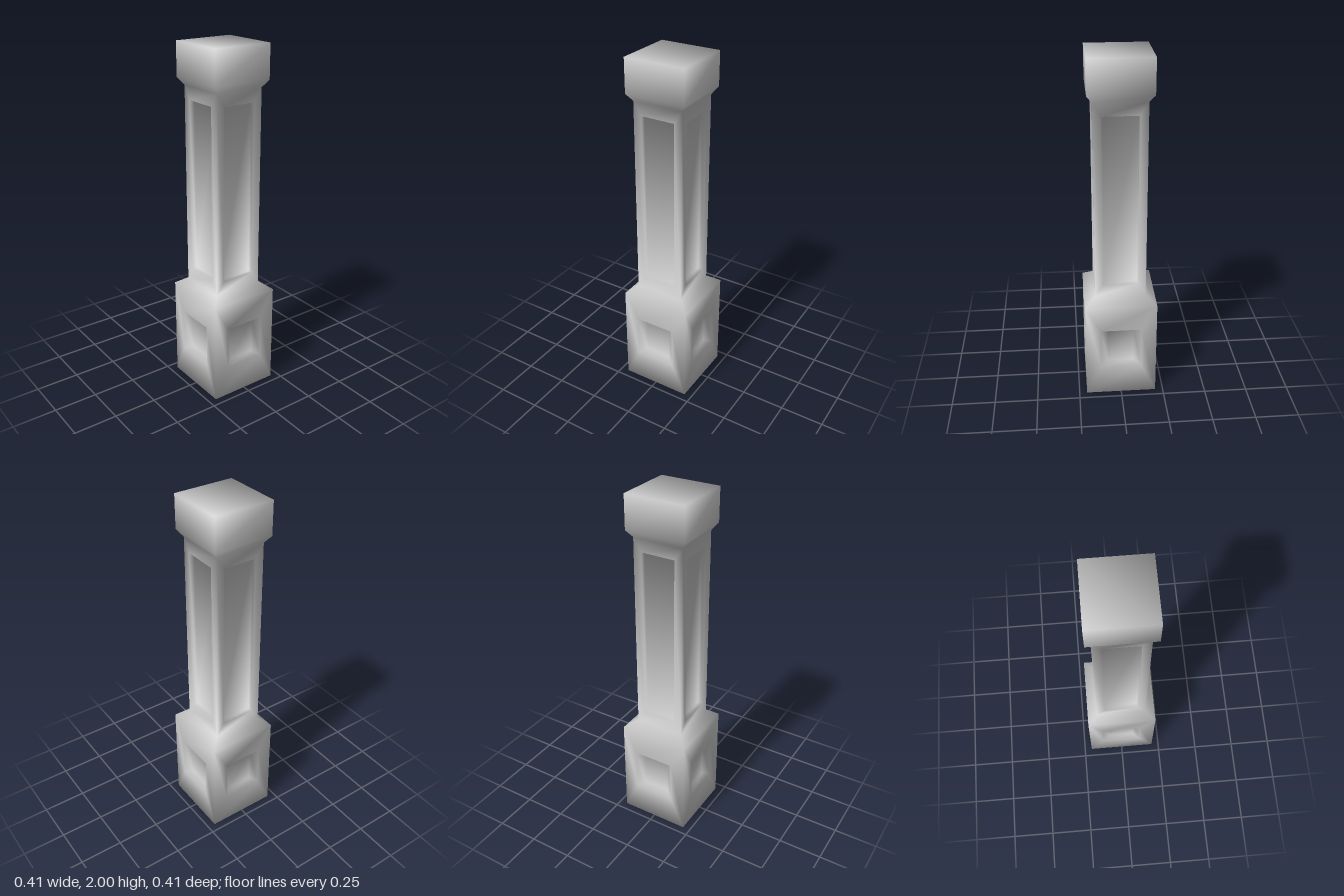
import * as THREE from 'three';
import { mergeVertices } from 'three/addons/utils/BufferGeometryUtils.js';

const SHIFT = 0.005; // shaft and cap sit slightly forward of the base

// Smooth normals weighted by corner angle, so long thin faces do not dominate.
function smoothNormals(geometry) {
  const pos = geometry.attributes.position;
  const at = (i) => new THREE.Vector3().fromBufferAttribute(pos, i);
  const sums = Array.from({ length: pos.count }, () => new THREE.Vector3());
  const index = geometry.index.array;
  for (let t = 0; t < index.length; t += 3) {
    for (let k = 0; k < 3; k++) {
      const [i, j, l] = [0, 1, 2].map((n) => index[t + ((k + n) % 3)]);
      const e = at(j).sub(at(i)), f = at(l).sub(at(i));
      sums[i].addScaledVector(e.clone().cross(f).normalize(), e.angleTo(f));
    }
  }
  const normals = sums.flatMap((n) => n.normalize().toArray());
  geometry.setAttribute('normal', new THREE.Float32BufferAttribute(normals, 3));
}

export function createModel() {
  const positions = [];

  // Point on side k of the square pillar: u along the side, d outward.
  const point = (k, u, y, d) => {
    const a = (k * Math.PI) / 2;
    const c = Math.cos(a), s = Math.sin(a);
    return [u * c + d * s, y, d * c - u * s + (y > 0.61 ? SHIFT : 0)];
  };
  const quad = (a, b, c, d) => positions.push(...a, ...b, ...c, ...a, ...c, ...d);

  // A rectangular loop [halfWidth, bottom, top, outward distance].
  const corners = (k, [w, y0, y1, d]) =>
    [[-w, y0], [w, y0], [w, y1], [-w, y1]].map(([u, y]) => point(k, u, y, d));

  // Nested loops bridged from rim to floor, giving a framed recess on each side.
  function panel(loops) {
    for (let k = 0; k < 4; k++) {
      const rings = loops.map((l) => corners(k, l));
      for (let r = 0; r + 1 < rings.length; r++) {
        for (let i = 0; i < 4; i++) {
          const j = (i + 1) % 4;
          quad(rings[r][i], rings[r][j], rings[r + 1][j], rings[r + 1][i]);
        }
      }
      quad(...rings.at(-1));
    }
  }

  // Four sloped or straight sides between two square sections.
  function band(w0, y0, w1, y1) {
    for (let k = 0; k < 4; k++) {
      quad(point(k, -w0, y0, w0), point(k, w0, y0, w0), point(k, w1, y1, w1), point(k, -w1, y1, w1));
    }
  }

  // Square end face, facing up or down.
  function endFace(w, y, up) {
    const p = [0, 1, 2, 3].map((k) => point(k, w, y, w));
    quad(...(up ? p : p.reverse()));
  }

  const parts = {
    base() {
      endFace(0.205, 0, false);
      panel([[0.205, 0, 0.593, 0.205], [0.118, 0.185, 0.437, 0.205], [0.075, 0.21, 0.412, 0.171]]);
      band(0.205, 0.593, 0.145, 0.635);
    },
    shaft() {
      panel([[0.145, 0.635, 1.77, 0.145], [0.098, 0.71, 1.697, 0.145], [0.098, 0.71, 1.697, 0.115]]);
    },
    cap() {
      band(0.145, 1.77, 0.174, 1.81);
      band(0.174, 1.81, 0.174, 2);
      endFace(0.174, 2, true);
    },
  };

  const ranges = Object.entries(parts).map(([name, build]) => {
    const start = positions.length / 3;
    build();
    return { name, start, end: positions.length / 3 };
  });

  // Weld everything so the smooth shading flows from part to part.
  let whole = new THREE.BufferGeometry();
  whole.setAttribute('position', new THREE.Float32BufferAttribute(positions, 3));
  whole = mergeVertices(whole, 1e-4);
  smoothNormals(whole);

  const material = new THREE.MeshStandardMaterial({ color: 0xcccccc });
  const group = new THREE.Group();
  group.name = 'pillar';
  for (const { name, start, end } of ranges) {
    const geometry = new THREE.BufferGeometry();
    geometry.setAttribute('position', whole.attributes.position.clone());
    geometry.setAttribute('normal', whole.attributes.normal.clone());
    geometry.setIndex(Array.from(whole.index.array.slice(start, end)));
    const mesh = new THREE.Mesh(geometry, material);
    mesh.name = name;
    group.add(mesh);
  }
  return group;
}
